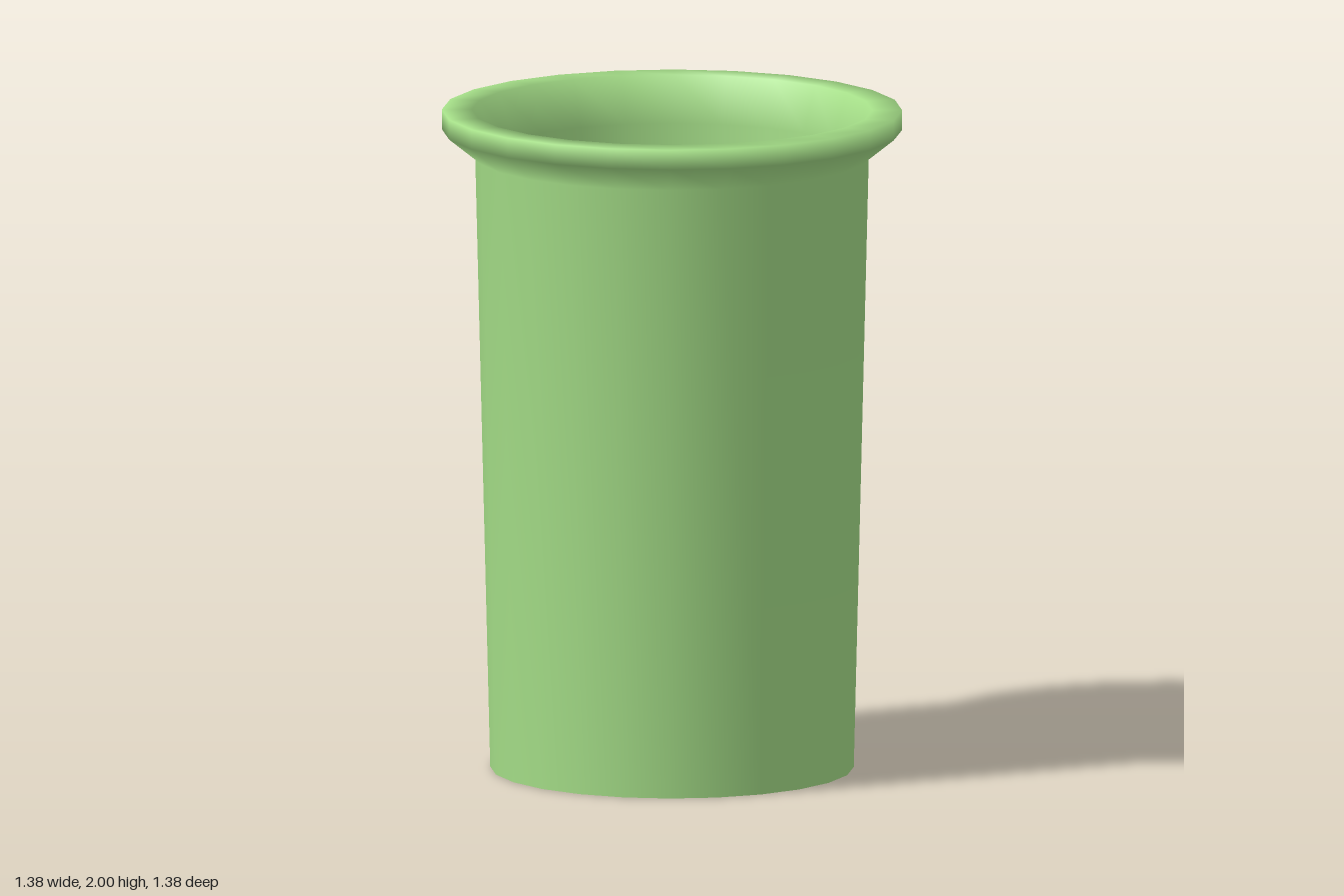
import * as THREE from 'three';

const SEGMENTS = 24;

export function createModel() {
  const model = new THREE.Group();
  model.name = 'flaredCup';
  const material = new THREE.MeshStandardMaterial({ color: 0xa4dd87, side: THREE.DoubleSide });

  // Thin shell: up the outside, over the flared lip, down the inside to the floor
  const floorRadius = 0.49, floorHeight = 0.485;
  const profile = [
    [0.545, 0],
    [0.59, 1.86],
    [0.69, 1.94],
    [0.69, 2],
    [0.6, 2],
    [0.555, 1.86],
    [floorRadius, floorHeight],
  ].map(([r, y]) => new THREE.Vector2(r, y));
  const shell = new THREE.Mesh(new THREE.LatheGeometry(profile, SEGMENTS), material);
  shell.name = 'cupWall';
  model.add(shell);

  // Raised floor, leaving a hollow open underneath
  const floor = new THREE.Mesh(
    new THREE.CircleGeometry(floorRadius, SEGMENTS).rotateX(-Math.PI / 2),
    material
  );
  floor.position.y = floorHeight;
  floor.name = 'cupFloor';
  model.add(floor);

  return model;
}
